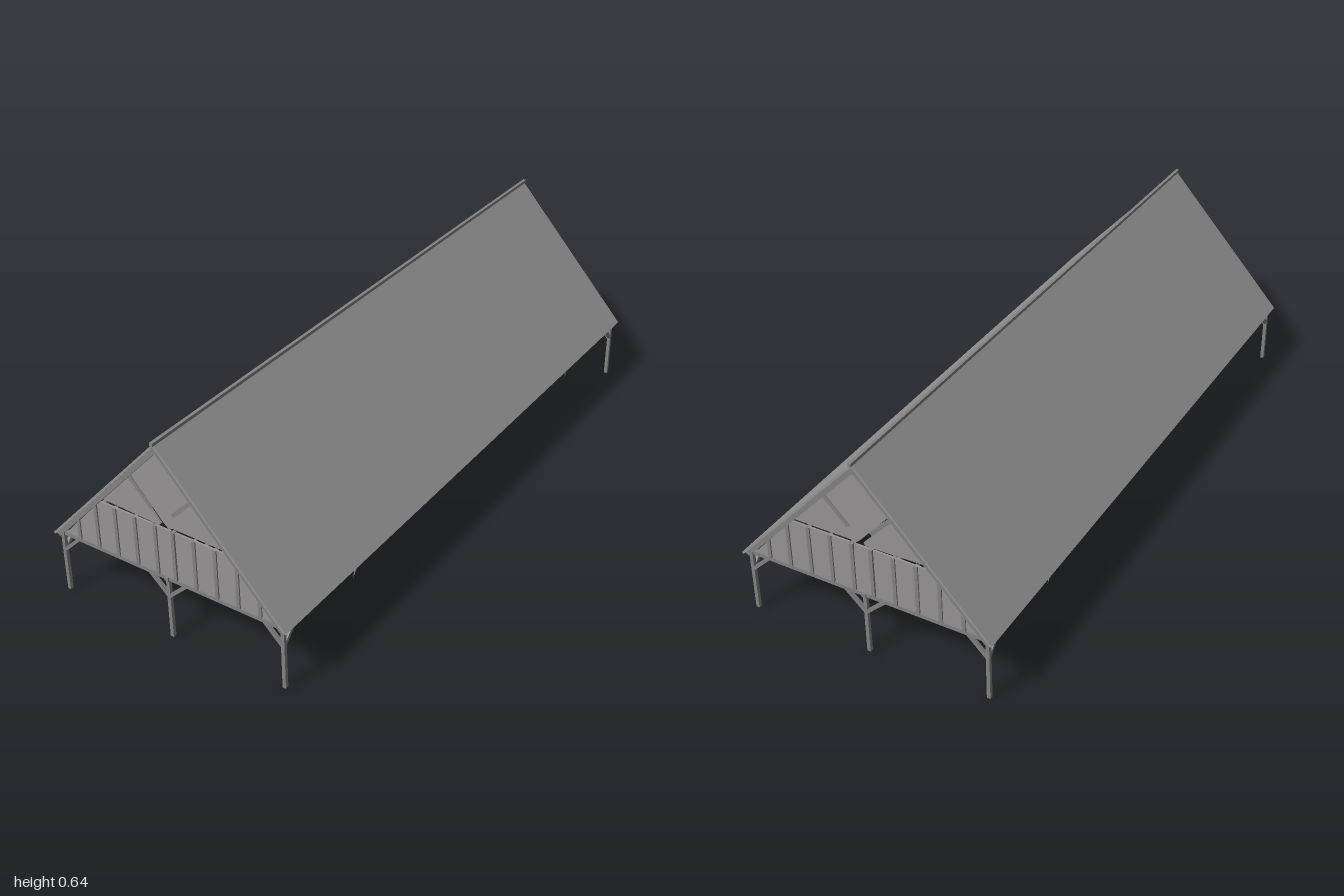
import * as THREE from 'three';

const roofGrey = new THREE.MeshStandardMaterial({ color: 0x969696 });
roofGrey.name = 'roof grey';
const timber = new THREE.MeshStandardMaterial({ color: 0x848282 });
timber.name = 'timber';
const boards = new THREE.MeshStandardMaterial({ color: 0x969393 });
boards.name = 'wall boards';

const END = 0.975;
const FRAMES = [-END, -0.65, -0.325, 0, 0.325, 0.65, END];
const SIDES = [-1, 1];

export function createModel() {
  const model = new THREE.Group();
  model.name = 'openBarn';

  // Straight timber between two points
  function beam(name, parent, a, b, w, d = w) {
    const p = new THREE.Vector3(...a), q = new THREE.Vector3(...b);
    const dir = q.clone().sub(p);
    const mesh = new THREE.Mesh(new THREE.BoxGeometry(w, dir.length(), d), timber);
    mesh.position.copy(p).add(q).multiplyScalar(0.5);
    mesh.quaternion.setFromUnitVectors(new THREE.Vector3(0, 1, 0), dir.normalize());
    mesh.name = name;
    parent.add(mesh);
  }

  // Extruded outline, centred on z
  function slab(name, parent, points, depth, z, material) {
    const shape = new THREE.Shape(points.map(([x, y]) => new THREE.Vector2(x, y)));
    const geo = new THREE.ExtrudeGeometry(shape, { depth, bevelEnabled: false });
    const mesh = new THREE.Mesh(geo.translate(0, 0, z - depth / 2), material);
    mesh.name = name;
    parent.add(mesh);
  }

  // Two roof slopes and the ridge cap
  for (const s of SIDES) {
    slab('roofSlope', model,
      [[0, 0.637], [s * 0.4, 0.2], [s * 0.394, 0.196], [0, 0.627]], 1.986, 0, roofGrey);
  }
  beam('ridgeCap', model, [0, 0.638, -1], [0, 0.638, 1], 0.01);
  beam('ridgeBeam', model, [0, 0.613, -0.99], [0, 0.613, 0.99], 0.008, 0.024);

  // Long timbers at the eaves and along the middle
  for (const x of [-0.375, 0, 0.375]) {
    beam('longBeam', model, [x, 0.2, -0.985], [x, 0.2, 0.985], 0.012);
  }

  // Wall panel: sloping ends, narrow openings beside the middle bay
  function wall(parent, z) {
    const bottom = 0.205, top = 0.364;
    for (const s of SIDES) {
      slab('wallPanel', parent,
        [[s * 0.037, bottom], [s * 0.362, bottom], [s * 0.225, top], [s * 0.037, top]], 0.006, z, boards);
      for (const x of [0.03, 0.1, 0.17, 0.24, 0.31]) {
        const h = Math.min(top, 0.615 - x * 1.09);
        beam('stud', parent, [s * x, bottom, z], [s * x, h, z], 0.011, 0.014);
      }
    }
    slab('middlePanel', parent,
      [[-0.025, bottom], [0.032, bottom], [0.022, top], [-0.025, top]], 0.006, z, boards);
  }

  FRAMES.forEach((z, i) => {
    const frame = new THREE.Group();
    frame.name = 'crossFrame';
    model.add(frame);
    const isEnd = Math.abs(z) === END;
    const isMain = isEnd || i === 2 || i === 4;
    const w = isMain ? 0.012 : 0.008;

    beam('tieBeam', frame, [-0.388, 0.201, z], [0.388, 0.201, z], w);
    for (const s of SIDES) {
      beam('rafter', frame, [0, 0.617, z], [s * 0.385, 0.198, z], 0.016, isEnd ? 0.03 : 0.01);
      if (isMain) {
        beam('roofStrut', frame, [s * 0.108, 0.494, z], [s * 0.035, 0.418, z], 0.012);
      }
    }

    if (isMain) {
      wall(frame, z);
      // Middle post with its pair of knee braces
      beam('middlePost', frame, [0, 0, z], [0, 0.2, z], 0.011);
      for (const s of SIDES) {
        beam('middleBrace', frame, [0, 0.138, z], [s * 0.062, 0.197, z], 0.01);
      }
    }

    if (isEnd) {
      const inward = -Math.sign(z);
      for (const s of SIDES) {
        // Corner posts braced both ways
        beam('cornerPost', frame, [s * 0.379, 0, z], [s * 0.379, 0.2, z], 0.011);
        beam('cornerBrace', frame, [s * 0.379, 0.138, z], [s * 0.32, 0.197, z], 0.01);
        beam('eaveBrace', frame, [s * 0.379, 0.142, z], [s * 0.379, 0.197, z + inward * 0.05], 0.01);
      }
      // Gable boards above the wall, parted by a slanting slit
      slab('gablePanel', frame,
        [[-0.222, 0.378], [-0.015, 0.37], [-0.008, 0.378], [-0.112, 0.494]], 0.006, z, boards);
      slab('gablePanel', frame,
        [[0.0, 0.385], [0.02, 0.367], [0.03, 0.375], [0.222, 0.374], [0, 0.615], [-0.1, 0.5]], 0.006, z, boards);
    }

    // Pointed brackets hanging under the eaves
    if (Math.abs(z) === 0.65) {
      const t = Math.sign(z);
      for (const s of SIDES) {
        const geo = new THREE.ConeGeometry(0.018, 0.07, 4).rotateX(Math.PI);
        const bracket = new THREE.Mesh(geo, timber);
        bracket.scale.x = 0.35;
        bracket.rotation.x = t * -0.5;
        bracket.position.set(s * 0.375, 0.173, z - t * 0.02);
        bracket.name = 'eaveBracket';
        frame.add(bracket);
      }
    }
  });

  return model;
}
